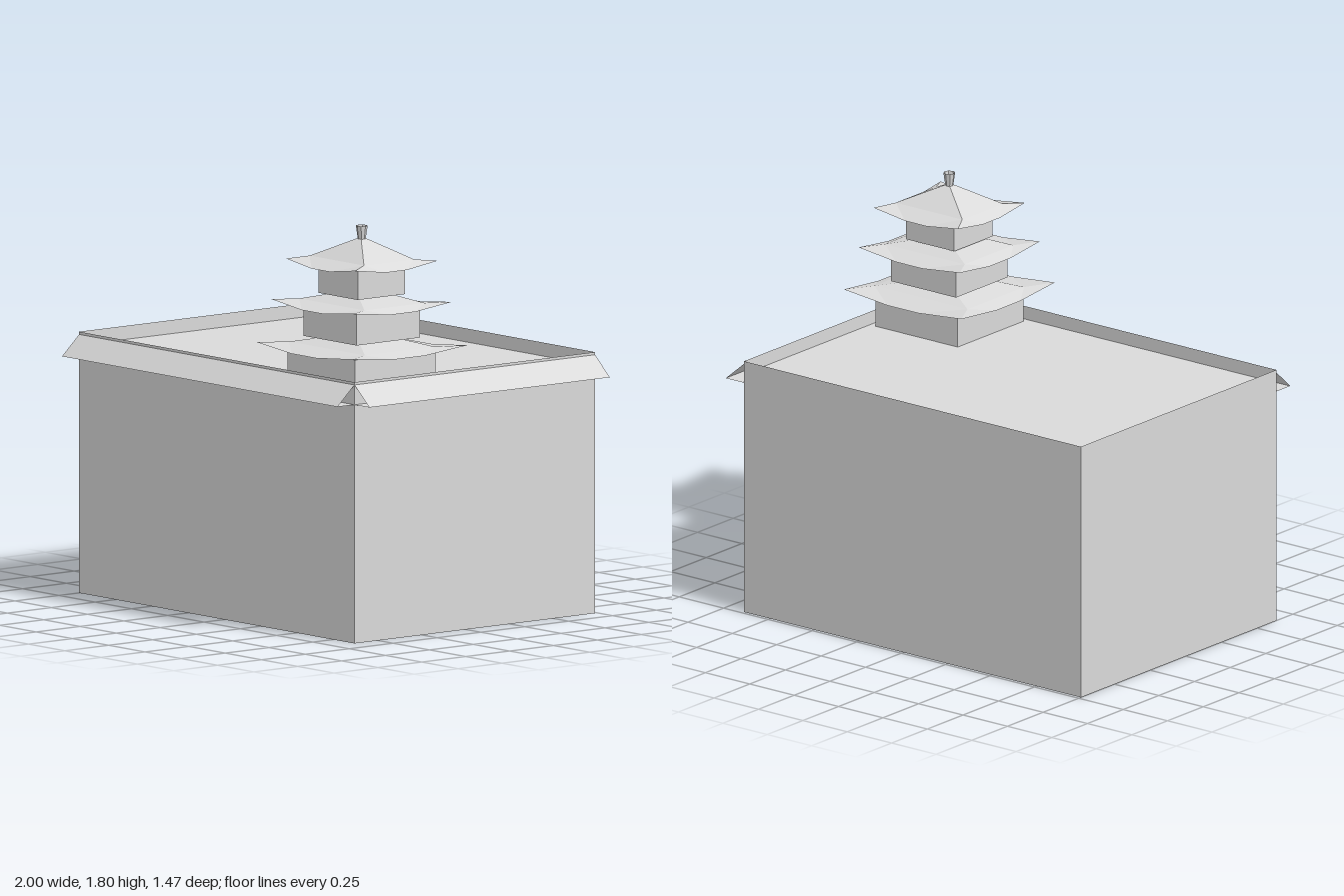
import * as THREE from 'three';

const stone = new THREE.MeshStandardMaterial({ color: 0xd9d9d9, side: THREE.DoubleSide, flatShading: true });
stone.name = 'pale grey stone';

function add(parent, geometry, name, x = 0, y = 0, z = 0) {
  const mesh = new THREE.Mesh(geometry, stone);
  mesh.name = name;
  mesh.position.set(x, y, z);
  parent.add(mesh);
  return mesh;
}

// Flat-shaded skin through rows of points, listed from the bottom up.
// Every third point is a corner; the diagonals mirror each other about it.
function skin(rows, closed = true) {
  const pos = [];
  for (let r = 0; r < rows.length - 1; r++) {
    const lo = rows[r], hi = rows[r + 1], n = lo.length;
    for (let i = 0; i < (closed ? n : n - 1); i++) {
      const j = (i + 1) % n;
      if (i % 3 === 0) pos.push(...lo[i], ...lo[j], ...hi[i], ...lo[j], ...hi[j], ...hi[i]);
      else pos.push(...lo[i], ...lo[j], ...hi[j], ...lo[i], ...hi[j], ...hi[i]);
    }
  }
  const g = new THREE.BufferGeometry();
  g.setAttribute('position', new THREE.Float32BufferAttribute(pos, 3));
  g.computeVertexNormals();
  return g;
}

// Rectangular loop with three spans per side; corners may sit higher than the middles
function loop(hx, hz, yCorner, yMid = yCorner) {
  const corners = [[1, 1], [1, -1], [-1, -1], [-1, 1]];
  const pts = [];
  corners.forEach(([ax, az], i) => {
    const [bx, bz] = corners[(i + 1) % 4];
    [0, 0.37, 0.63].forEach((t) => pts.push([
      hx * (ax + (bx - ax) * t), t === 0 ? yCorner : yMid, hz * (az + (bz - az) * t)]));
  });
  return pts;
}

export function createModel() {
  const model = new THREE.Group();
  model.name = 'building';

  const x0 = -1, x1 = 0.897, z0 = -0.735, z1 = 0.635;
  const cx = (x0 + x1) / 2, cz = (z0 + z1) / 2;
  const w = x1 - x0, d = z1 - z0, rim = 1.16, deck = 1.1;

  // Hollow walls, open below, rising past the deck as a parapet
  add(model, skin([loop(w / 2, d / 2, 0), loop(w / 2, d / 2, rim)]), 'walls', cx, 0, cz);
  add(model, new THREE.PlaneGeometry(w, d).rotateX(-Math.PI / 2), 'roofDeck', cx, deck, cz);

  // Eaves on the front and the +x side: flat soffit and sloping top, open at the ends
  const top = 1.148, low = 1.06;
  add(model, skin([
    [[x0, low, z1], [x1, low, z1]],
    [[x0, low, 0.732], [x1, low, 0.732]],
    [[x0, top, z1], [x1, top, z1]]], false), 'frontEave');
  add(model, skin([
    [[x1, low, z1], [x1, low, z0]],
    [[1, low, z1], [1, low, z0]],
    [[x1, top, z1], [x1, top, z0]]], false), 'sideEave');

  // Three-tier tower on the corner of the deck
  const tower = new THREE.Group();
  tower.name = 'tower';
  tower.position.set(0.634, 0, 0.376);
  model.add(tower);

  const tiers = [
    { half: 0.232, y0: deck, y1: 1.252, eave: 0.331, tip: 1.275, bend: 1.273, peak: 1.306, cap: 0.1 },
    { half: 0.183, y0: 1.306, y1: 1.443, eave: 0.284, tip: 1.467, bend: 1.466, peak: 1.498, cap: 0.09 },
    { half: 0.136, y0: 1.498, y1: 1.624, eave: 0.237, tip: 1.648, bend: 1.658, peak: 1.741, cap: 0.018 },
  ];
  for (const t of tiers) {
    const h = t.y1 - t.y0;
    add(tower, new THREE.BoxGeometry(t.half * 2, h, t.half * 1.98), 'tierWalls', 0, t.y0 + h / 2, 0);
    // Roof with upturned corners, a bend and a small flat cap
    add(tower, skin([
      loop(t.eave, t.eave * 0.99, t.tip, t.y1),
      loop(t.eave * 0.79, t.eave * 0.6, t.bend),
      loop(t.cap, t.cap, t.peak),
      loop(0.001, 0.001, t.peak)]), 'tierRoof');
  }

  // Flared finial, hollow at the top
  add(tower, new THREE.CylinderGeometry(0.026, 0.017, 0.063, 8, 1, true), 'finial', 0, 1.7685, 0);

  return model;
}
